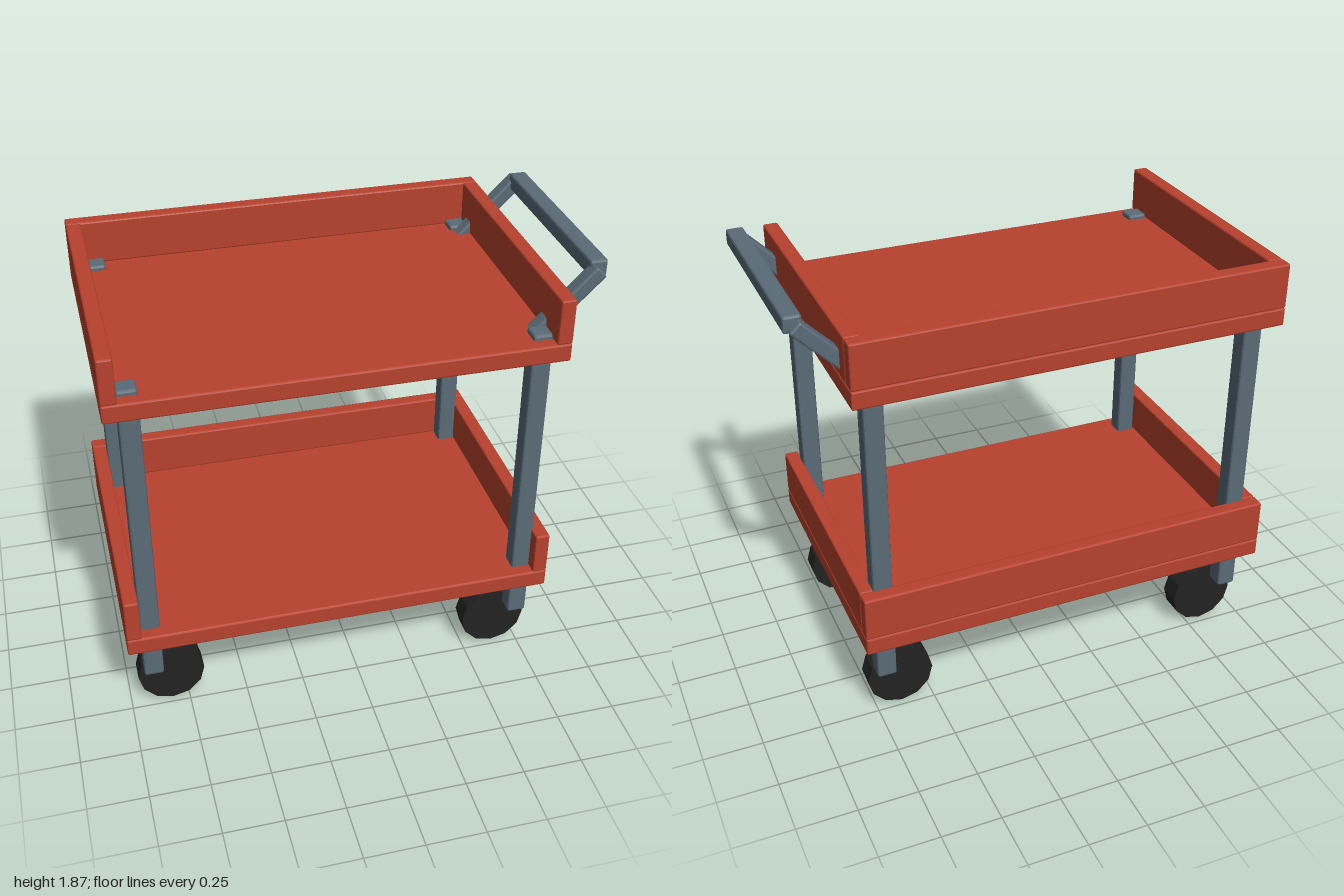
import * as THREE from 'three';
import { RoundedBoxGeometry } from 'three/addons/geometries/RoundedBoxGeometry.js';

function material(name, color) {
  const m = new THREE.MeshStandardMaterial({ color, flatShading: true });
  m.name = name;
  return m;
}

export function createModel() {
  const red = material('red paint', 0xb7412d);
  const steel = material('blue grey steel', 0x5a6b77);
  const rubber = material('black rubber', 0x222222);
  const cart = new THREE.Group();
  cart.name = 'utilityCart';

  // Box with chamfered edges, given by its minimum and maximum corners
  function block(name, mat, min, max, bevel, parent = cart) {
    const s = max.map((v, i) => v - min[i]);
    const mesh = new THREE.Mesh(new RoundedBoxGeometry(s[0], s[1], s[2], 1, bevel), mat);
    mesh.position.set(...max.map((v, i) => (v + min[i]) / 2));
    mesh.name = name;
    parent.add(mesh);
    return mesh;
  }

  // Two trays, each with a floor and three walls, open at the front
  const x0 = -1, x1 = 0.812, z = 0.602, wall = 0.062;
  for (const [name, y] of [['lowerTray', 0.4], ['upperTray', 1.53]]) {
    const tray = new THREE.Group();
    tray.name = name;
    const rim = y + 0.268, floor = y + 0.077;
    block('floor', red, [x0, y, -z], [x1, floor, z], 0.007, tray);
    block('backWall', red, [x0, floor, -z], [x1, rim, -z + wall], 0.007, tray);
    block('rightWall', red, [x0, floor, -z + wall], [x0 + wall, rim, z], 0.007, tray);
    block('leftWall', red, [x1 - wall, floor, -z + wall], [x1, rim, z], 0.007, tray);
    cart.add(tray);
  }

  for (const side of [1, -1]) {
    // Corner posts with a wheel on the inner face of each
    for (const [x, wheelX] of [[-0.897, -0.82], [0.716, 0.637]]) {
      block('post', steel, [x - 0.041, 0.22, side * 0.507 - 0.041],
        [x + 0.041, 1.628, side * 0.507 + 0.041], 0.01);
      const wheel = new THREE.Mesh(new THREE.CylinderGeometry(0.142, 0.142, 0.092, 12), rubber);
      wheel.rotation.x = Math.PI / 2;
      wheel.position.set(wheelX, 0.142, side * 0.425);
      wheel.name = 'wheel';
      cart.add(wheel);
    }
    // Sloping handle arms through the left wall
    const arm = new THREE.Mesh(new RoundedBoxGeometry(0.36, 0.062, 0.062, 1, 0.009), steel);
    arm.position.set(0.838, 1.706, side * 0.447);
    arm.rotation.z = Math.PI / 4;
    arm.name = 'handleArm';
    cart.add(arm);
  }

  // Push bar
  block('handleBar', steel, [0.927, 1.797, -0.443], [1, 1.867, 0.443], 0.01);
  return cart;
}
